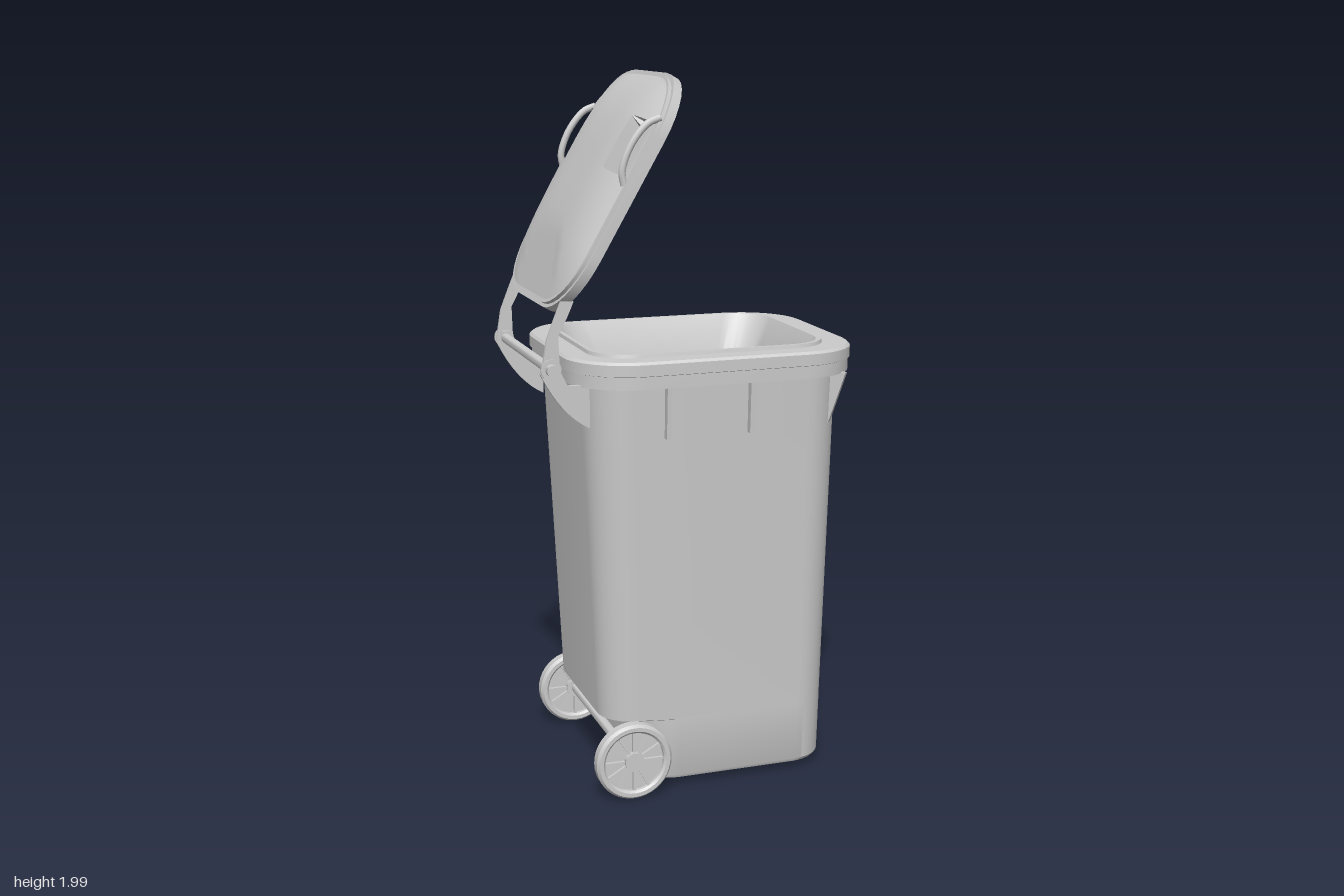
import * as THREE from 'three';
import { toCreasedNormals } from 'three/addons/utils/BufferGeometryUtils.js';

const grey = new THREE.MeshStandardMaterial({ color: 0xcccccc });
const greyThin = new THREE.MeshStandardMaterial({ color: 0xcccccc, side: THREE.DoubleSide });

function add(parent, name, geometry, x = 0, y = 0, z = 0, material = grey) {
  const mesh = new THREE.Mesh(geometry, material);
  mesh.name = name;
  mesh.position.set(x, y, z);
  parent.add(mesh);
  return mesh;
}

// Rounded rectangle from x0 to x1, half width w, corner radius r
function roundedRect(x0, x1, w, r, seg = 8) {
  const pts = [];
  const corners = [[x1 - r, w - r], [x0 + r, w - r], [x0 + r, r - w], [x1 - r, r - w]];
  corners.forEach(([cx, cz], k) => {
    for (let i = 0; i <= seg; i++) {
      const a = (k + i / seg) * Math.PI / 2;
      pts.push(new THREE.Vector2(cx + r * Math.cos(a), cz + r * Math.sin(a)));
    }
  });
  return pts;
}

// Skin over rounded-rectangle sections [y, x0, x1, w, r], capped at both ends
function loft(sections) {
  const pos = [], idx = [];
  let n = 0;
  for (const [y, ...rect] of sections) {
    const ring = roundedRect(...rect);
    n = ring.length;
    ring.forEach(p => pos.push(p.x, y, p.y));
  }
  const last = sections.length - 1;
  for (const s of [sections[0], sections[last]]) pos.push((s[1] + s[2]) / 2, s[0], 0);
  const c0 = (last + 1) * n, c1 = c0 + 1;
  for (let i = 0; i < n; i++) {
    const j = (i + 1) % n;
    for (let k = 0; k < last; k++) {
      const a = k * n + i, b = k * n + j, c = b + n, d = a + n;
      idx.push(a, d, b, b, d, c);
    }
    idx.push(c0, i, j, c1, last * n + j, last * n + i);
  }
  const g = new THREE.BufferGeometry();
  g.setAttribute('position', new THREE.Float32BufferAttribute(pos, 3));
  g.setIndex(idx);
  return toCreasedNormals(g, 0.5);
}

// Flat plate in the xy plane, centred on z
function plate(shape, t) {
  return toCreasedNormals(new THREE.ExtrudeGeometry(shape, { depth: t, bevelEnabled: false, curveSegments: 8 })
    .translate(0, 0, -t / 2), 0.5);
}

// Horizontal slab from an outline, bottom at y = 0
function slab(outline, t, hole) {
  const s = new THREE.Shape(outline);
  if (hole) s.holes.push(new THREE.Path(hole));
  return toCreasedNormals(new THREE.ExtrudeGeometry(s, { depth: t, bevelEnabled: false }).rotateX(-Math.PI / 2), 0.5);
}

const rod = (r, len, seg = 24) => toCreasedNormals(new THREE.CylinderGeometry(r, r, len, seg).rotateX(Math.PI / 2), 0.6);

function buildBin(root) {
  // Tapered shell with axle notch, stepped rim, raised lip and funnelled inside
  add(root, 'binBody', loft([
    [0.02, -0.17, 0.38, 0.262, 0.1],
    [0.03, -0.17, 0.387, 0.267, 0.1],
    [0.2, -0.17, 0.39, 0.272, 0.1],
    [0.21, -0.285, 0.39, 0.272, 0.1],
    [1.175, -0.33, 0.41, 0.31, 0.12],
    [1.175, -0.365, 0.455, 0.342, 0.175],
    [1.21, -0.365, 0.455, 0.342, 0.175],
    [1.212, -0.372, 0.46, 0.347, 0.18],
    [1.243, -0.372, 0.46, 0.347, 0.18],
    [1.25, -0.365, 0.453, 0.34, 0.175],
    [1.25, -0.305, 0.382, 0.282, 0.12],
    [1.26, -0.303, 0.38, 0.28, 0.12],
    [1.26, -0.29, 0.365, 0.27, 0.11],
    [1.13, -0.22, 0.297, 0.215, 0.085],
    [0.22, -0.22, 0.293, 0.212, 0.085],
  ]));

  // Gusset ribs under the rim: [x, z, outward x, outward z, reach, foot reach]
  const ribs = [];
  for (const s of [1, -1]) {
    for (const x of [-0.12, 0.12]) ribs.push([x, s * 0.3, 0, s, 0.032, 0.024]);
    ribs.push([0.37, s * 0.272, 1, s, 0.05, 0]);
    ribs.push([0.405, s * 0.1, 1, 0, 0.047, 0]);
  }
  for (const [x, z, dx, dz, reach, foot] of ribs) {
    const shape = new THREE.Shape([[-0.02, 1.03], [foot, 1.03], [reach, 1.178], [-0.02, 1.178]]
      .map(p => new THREE.Vector2(...p)));
    add(root, 'rimRib', plate(shape, 0.013), x, 0, z).rotation.y = -Math.atan2(dz, dx);
  }
}

function buildWheel() {
  const wheel = new THREE.Group();
  wheel.name = 'wheel';
  const tyre = [[0.086, -0.016], [0.092, -0.022], [0.103, -0.022], [0.11, -0.013], [0.11, 0.013],
    [0.103, 0.022], [0.092, 0.022], [0.086, 0.016], [0.086, -0.016]].map(p => new THREE.Vector2(...p));
  add(wheel, 'tyre', toCreasedNormals(new THREE.LatheGeometry(tyre, 40).rotateX(Math.PI / 2), 0.6));
  add(wheel, 'wheelDisc', rod(0.088, 0.01, 40));
  add(wheel, 'hub', rod(0.028, 0.042));
  for (let i = 0; i < 12; i++) {
    const spoke = add(wheel, 'spoke', new THREE.BoxGeometry(0.066, 0.008, 0.028).translate(0.055, 0, 0));
    spoke.rotation.z = i * Math.PI / 6;
  }
  return wheel;
}

function buildHinge(root) {
  const px = -0.43, py = 1.23;
  add(root, 'hingeRod', rod(0.014, 0.52), px, py, 0);
  // Curved bracket on the bin
  const bracket = new THREE.Shape();
  bracket.moveTo(-0.32, 1.06);
  bracket.quadraticCurveTo(-0.4, 1.1, -0.455, 1.215);
  bracket.lineTo(-0.44, 1.25);
  bracket.lineTo(-0.415, 1.25);
  bracket.lineTo(-0.38, 1.18);
  bracket.lineTo(-0.32, 1.18);
  // Cranked arm on the lid
  const arm = new THREE.Shape();
  arm.moveTo(-0.455, 1.22);
  arm.lineTo(-0.44, 1.31);
  arm.quadraticCurveTo(-0.425, 1.35, -0.4, 1.41);
  arm.lineTo(-0.365, 1.41);
  arm.quadraticCurveTo(-0.385, 1.36, -0.408, 1.32);
  arm.lineTo(-0.405, 1.22);
  for (const s of [1, -1]) {
    add(root, 'hingeBracket', plate(bracket, 0.012), 0, 0, s * 0.243);
    add(root, 'lidArm', plate(arm, 0.01), 0, 0, s * 0.256);
    add(root, 'hingeBoss', rod(0.028, 0.008), px, py, s * 0.262);
    add(root, 'hingeCap', rod(0.016, 0.026), px, py, s * 0.273);
  }
}

// Outer skin of the lid: domed, with a sloping hollow at the hinge and two grip pockets
function lidDome() {
  const rows = [0.4, 0.402, 0.56, 0.562];
  for (let i = 0; i <= 32; i++) rows.push(0.355 - 0.34 * Math.cos(Math.PI * i / 32));
  rows.sort((a, b) => a - b);
  const half = [0.1, 0.2, 0.3, 0.4, 0.5, 0.603, 0.608, 0.7, 0.8, 0.88, 0.95, 1];
  const cols = [...half.map(q => -q).reverse(), 0, ...half];
  const pos = [], idx = [], r = 0.165, W = 0.3;
  for (const u of rows) {
    const d = Math.max(0, Math.min(u - 0.015, 0.695 - u, r));
    const w = W - r + Math.sqrt(r * r - (r - d) ** 2);
    for (const q of cols) {
      const z = q * w, v = (u - 0.42) / (u < 0.42 ? 0.405 : 0.275);
      let h = 0.046 * (1 - q ** 4) * (1 - Math.abs(v) ** 3);
      const hollow = 0.2 * (u - 0.015) + 0.8 * Math.max(0, Math.abs(z) - (0.24 - 0.67 * u));
      h = Math.min(h, hollow);
      if (u > 0.401 && u < 0.561 && Math.abs(z) > 0.181) h = Math.min(h, 0.002);
      pos.push(u, 0.035 + Math.max(0, h), z);
    }
  }
  const m = cols.length;
  for (let i = 0; i < rows.length - 1; i++) for (let j = 0; j < m - 1; j++) {
    const a = i * m + j, b = a + 1, c = b + m, d = a + m;
    idx.push(a, b, d, b, c, d);
  }
  const g = new THREE.BufferGeometry();
  g.setAttribute('position', new THREE.Float32BufferAttribute(pos, 3));
  g.setIndex(idx);
  return toCreasedNormals(g, 0.6);
}

function buildLid(root) {
  const lid = new THREE.Group();
  lid.name = 'lid';
  lid.position.set(-0.395, 1.367, 0);
  lid.rotation.z = Math.PI / 3;
  root.add(lid);
  const inner = roundedRect(0.034, 0.676, 0.285, 0.15);
  add(lid, 'lidRim', slab(roundedRect(0, 0.71, 0.318, 0.18), 0.026, inner));
  add(lid, 'lidRimStep', slab(roundedRect(0.01, 0.7, 0.308, 0.172), 0.01), 0, 0.026, 0);
  add(lid, 'lidPanel', slab(roundedRect(0.03, 0.68, 0.289, 0.154), 0.015), 0, 0.012, 0);
  add(lid, 'lidDome', lidDome(), 0, 0, 0, greyThin);
  // Arched grips over the side pockets
  for (const s of [1, -1]) {
    const arch = new THREE.CatmullRomCurve3([[0.38, 0.035], [0.41, 0.058], [0.48, 0.07], [0.55, 0.058], [0.58, 0.035]]
      .map(([u, n]) => new THREE.Vector3(u, n, s * 0.298)));
    add(lid, 'lidGrip', new THREE.TubeGeometry(arch, 20, 0.01, 8));
  }
}

export function createModel() {
  const root = new THREE.Group();
  root.name = 'wheeledBin';
  buildBin(root);
  for (const s of [1, -1]) {
    const wheel = buildWheel();
    wheel.position.set(-0.22, 0.11, s * 0.302);
    root.add(wheel);
  }
  add(root, 'axle', rod(0.014, 0.6), -0.22, 0.11, 0);
  buildHinge(root);
  buildLid(root);
  return root;
}
